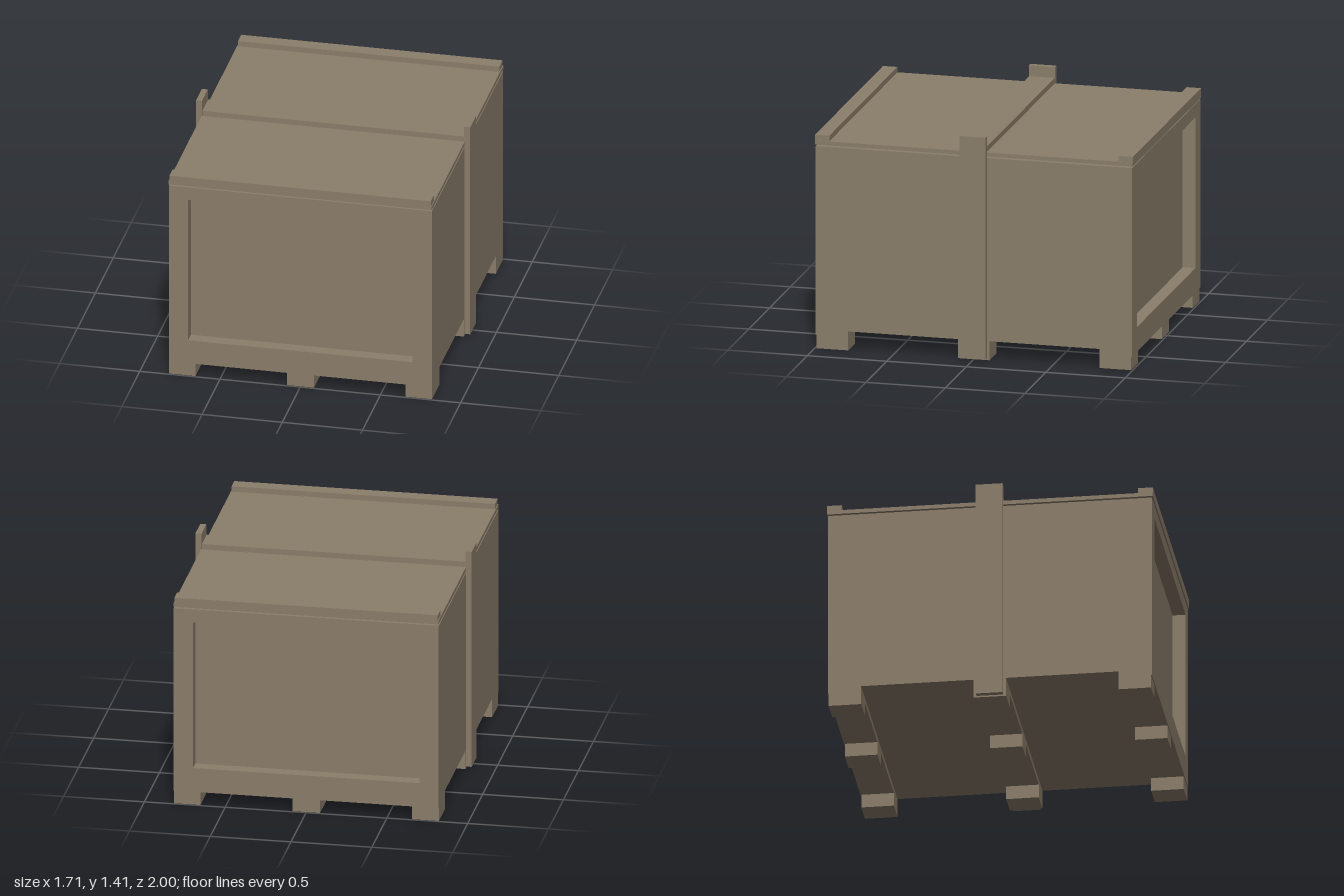
import * as THREE from 'three';

export function createModel() {
  const crate = new THREE.Group();
  crate.name = 'crate';
  const wood = new THREE.MeshStandardMaterial({ color: 0x8b7e6b });
  wood.name = 'weathered wood';

  // Box given by its minimum and maximum corners
  function box(name, [x0, y0, z0], [x1, y1, z1]) {
    const mesh = new THREE.Mesh(new THREE.BoxGeometry(x1 - x0, y1 - y0, z1 - z0), wood);
    mesh.position.set((x0 + x1) / 2, (y0 + y1) / 2, (z0 + z1) / 2);
    mesh.name = name;
    crate.add(mesh);
  }

  // Body between the two recessed end panels
  box('body', [-0.82, 0.155, -0.915], [0.82, 1.275, 0.915]);
  box('floor', [-0.82, 0.12, -0.915], [0.82, 0.155, 0.915]);

  // Raised frame around each end panel
  const outline = new THREE.Shape([
    [-0.82, 0.085], [0.82, 0.085], [0.82, 1.275], [-0.82, 1.275],
  ].map(([x, y]) => new THREE.Vector2(x, y)));
  outline.holes.push(new THREE.Path([
    [-0.70, 0.24], [-0.70, 1.19], [0.70, 1.19], [0.70, 0.24],
  ].map(([x, y]) => new THREE.Vector2(x, y))));
  const frameGeometry = new THREE.ExtrudeGeometry(outline, { depth: 0.08, bevelEnabled: false });
  for (const side of [1, -1]) {
    const frame = new THREE.Mesh(frameGeometry, wood);
    frame.name = side > 0 ? 'frontFrame' : 'backFrame';
    frame.position.z = side > 0 ? 0.915 : -0.995;
    crate.add(frame);
  }

  // Skids across the bottom, each with three feet
  for (const [z0, z1] of [[-0.99, -0.79], [-0.1, 0.1], [0.79, 0.99]]) {
    box('skid', [-0.82, 0.085, z0], [0.82, 0.12, z1]);
    for (const [x0, x1] of [[-0.82, -0.655], [-0.085, 0.085], [0.655, 0.82]]) {
      box('foot', [x0, 0, z0], [x1, 0.085, z1]);
    }
  }

  // Lid held just above the body, with three cross battens
  box('lid', [-0.82, 1.285, -1], [0.82, 1.31, 1]);
  for (const [z0, z1] of [[-1, -0.91], [-0.08, 0.08], [0.91, 1]]) {
    box('lidBatten', [-0.815, 1.31, z0], [0.815, 1.345, z1]);
  }

  // Upright posts at the middle of both sides
  box('rightPost', [-0.855, 0.01, -0.082], [-0.817, 1.412, 0.082]);
  box('leftPost', [0.817, 0.01, -0.082], [0.855, 1.412, 0.082]);

  return crate;
}
